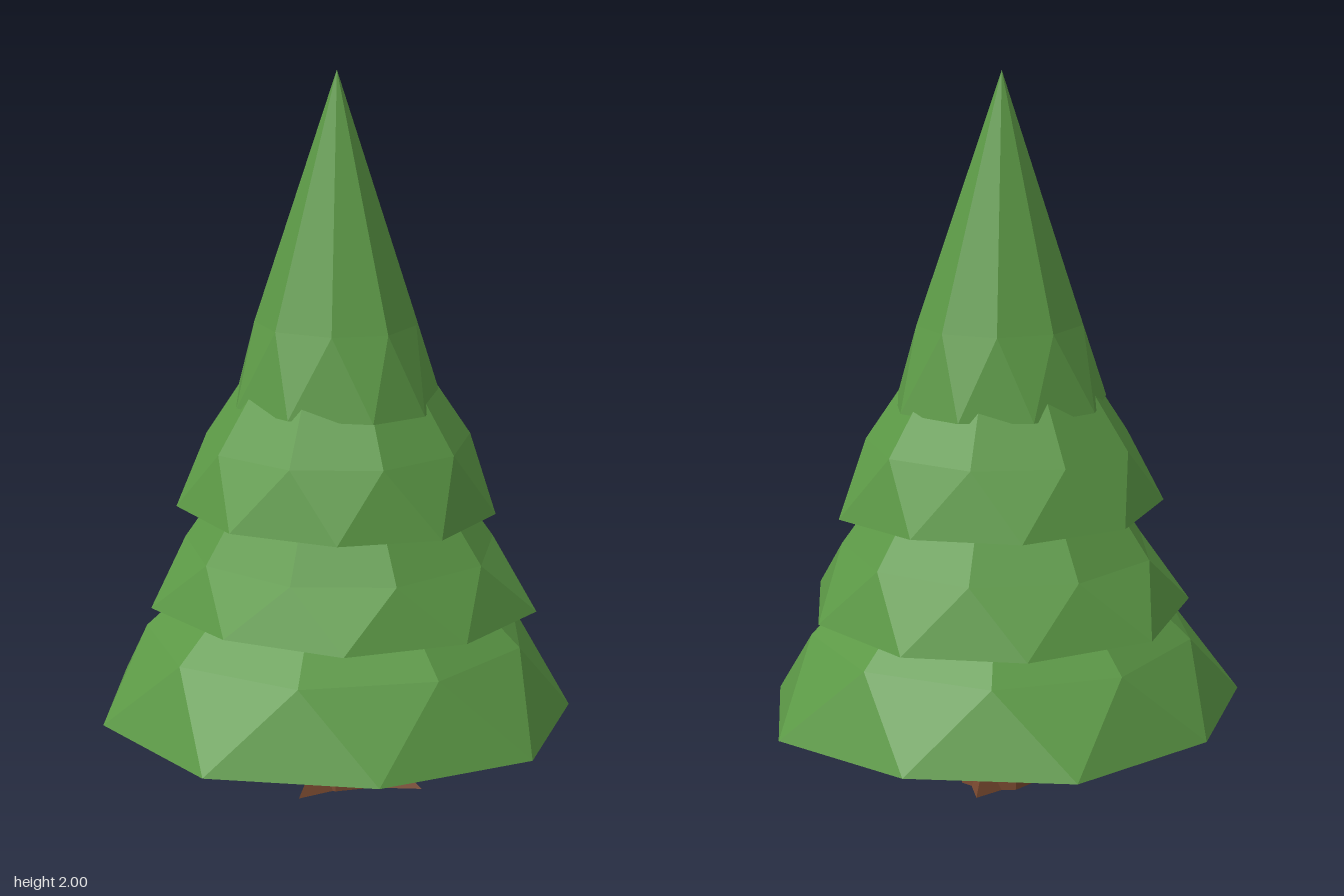
import * as THREE from 'three';
import { ConvexGeometry } from 'three/addons/geometries/ConvexGeometry.js';

const foliage = new THREE.MeshStandardMaterial({ color: 0x5c9946, flatShading: true });
const bark = new THREE.MeshStandardMaterial({ color: 0x7a4a30, flatShading: true });

// Irregular rims as [x, z] corners, with rim height, tilt in x and z,
// the half-step shoulder ring (scale, height) and the tip height.
const TIERS = [
  { name: 'bottomTier', y: 0.23, tx: -0.012, tz: -0.01, mid: 0.85, midY: 0.45, tip: 0.95,
    rim: [[-0.14, -0.66], [0.31, -0.58], [0.64, -0.27], [0.65, 0.18], [0.41, 0.56],
      [-0.04, 0.655], [-0.47, 0.485], [-0.655, 0.055], [-0.51, -0.38]] },
  { name: 'lowerMiddleTier', y: 0.525, tx: -0.02, tz: 0.025, mid: 0.87, midY: 0.69, tip: 1.32,
    rim: [[-0.02, -0.5], [0.31, -0.42], [0.53, -0.14], [0.53, 0.23], [0.25, 0.475],
      [-0.1, 0.52], [-0.37, 0.3], [-0.5, -0.03], [-0.36, -0.37]] },
  { name: 'upperMiddleTier', y: 0.81, tx: -0.025, tz: -0.01, mid: 0.88, midY: 0.99, tip: 1.55,
    rim: [[-0.01, -0.435], [0.28, -0.34], [0.47, -0.11], [0.42, 0.19], [0.2, 0.405],
      [-0.09, 0.415], [-0.34, 0.25], [-0.425, -0.03], [-0.29, -0.32]] },
  { name: 'topTier', y: 1.1, tx: -0.01, tz: 0, mid: 0.82, midY: 1.32, tip: 2,
    rim: [[-0.05, -0.275], [0.15, -0.26], [0.3, -0.13], [0.31, 0.03], [0.2, 0.24],
      [0.04, 0.3], [-0.17, 0.21], [-0.27, 0.04], [-0.22, -0.17]] },
];

// A faceted cone: rim, shoulder ring turned half a step, tip and flat underside
function tierGeometry({ y, tx, tz, mid, midY, tip, rim }) {
  const n = rim.length, cx = 0.02, pos = [];
  const lower = rim.map(([x, z]) => [x, y + tx * x + tz * z, z]);
  const upper = rim.map(([x, z], i) => {
    const [x2, z2] = rim[(i + 1) % n];
    return [cx + ((x + x2) / 2 - cx) * mid, midY, (z + z2) / 2 * mid];
  });
  const apex = [cx, tip, 0], base = [cx, y, 0];
  const tri = (...points) => points.forEach((p) => pos.push(...p));
  for (let i = 0; i < n; i++) {
    const j = (i + 1) % n;
    tri(lower[i], upper[i], lower[j]);
    tri(lower[j], upper[i], upper[j]);
    tri(upper[i], apex, upper[j]);
    tri(base, lower[i], lower[j]);
  }
  const geo = new THREE.BufferGeometry();
  geo.setAttribute('position', new THREE.Float32BufferAttribute(pos, 3));
  geo.computeVertexNormals();
  return geo;
}

export function createModel() {
  const tree = new THREE.Group();
  tree.name = 'pineTree';
  const add = (name, geo, mat) => {
    const mesh = new THREE.Mesh(geo, mat);
    mesh.name = name;
    tree.add(mesh);
    return mesh;
  };

  for (const tier of TIERS) add(tier.name, tierGeometry(tier), foliage);

  // Octagonal trunk, slightly wider at the ground
  const cx = 0.03, cz = 0.01;
  add('trunk', new THREE.CylinderGeometry(0.1, 0.115, 0.3, 8).rotateY(Math.PI / 8), bark)
    .position.set(cx, 0.15, cz);

  // Three pointed roots leaning on the trunk
  for (const [x, z] of [[-0.125, 0.14], [0.225, 0.16], [0.1, -0.15]]) {
    const out = new THREE.Vector3(x - cx, 0, z - cz).normalize();
    const side = new THREE.Vector3(-out.z, 0, out.x);
    const at = (o, s, y) => new THREE.Vector3(cx, y, cz).addScaledVector(out, o).addScaledVector(side, s);
    add('root', new ConvexGeometry([
      new THREE.Vector3(x, 0, z), at(0.07, 0.06, 0), at(0.07, -0.06, 0), at(0.1, 0, 0.12), at(0.04, 0, 0.12),
    ]), bark);
  }
  return tree;
}
